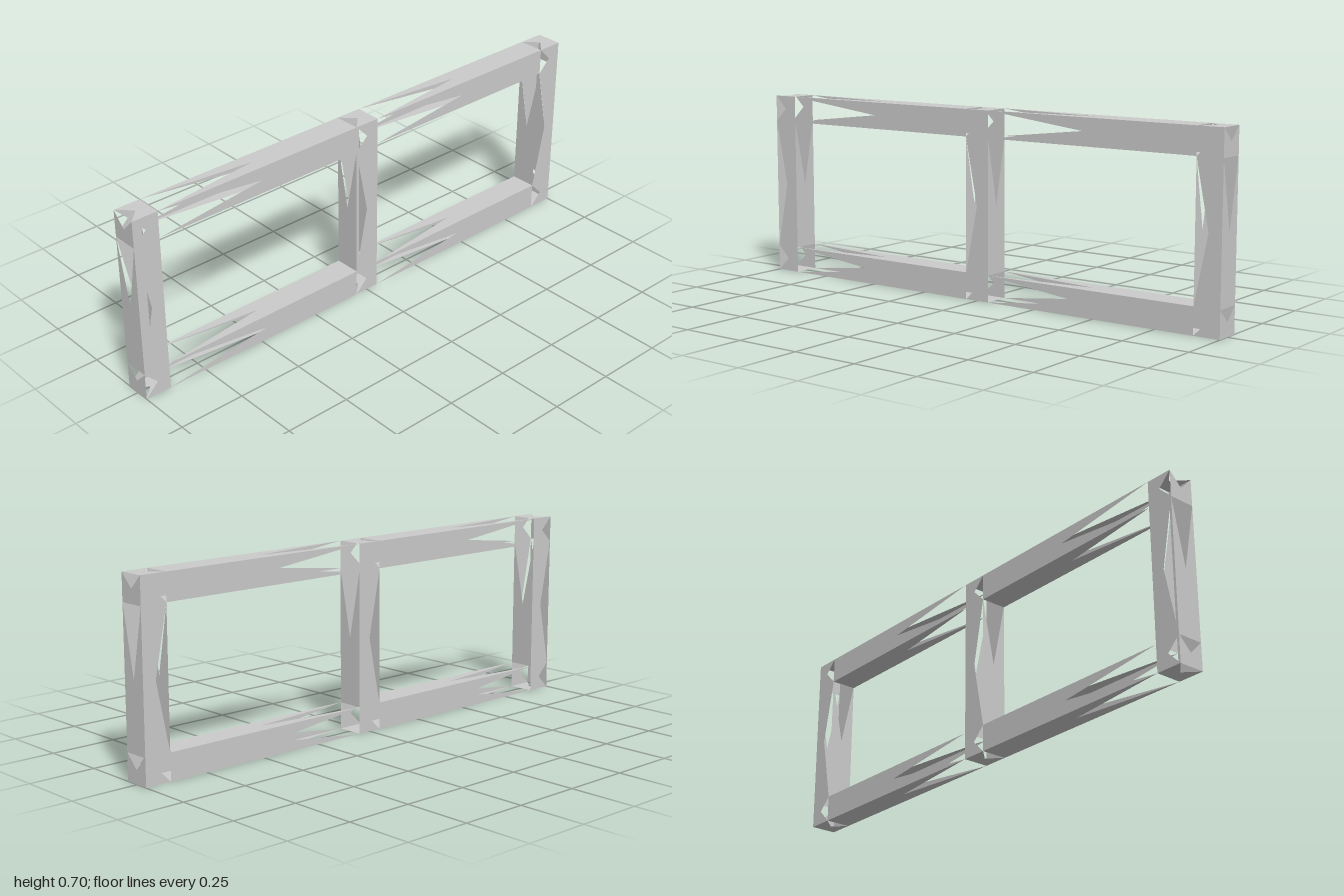
import * as THREE from 'three';
import { mergeGeometries } from 'three/addons/utils/BufferGeometryUtils.js';

const X = [-0.05, 0.05];
const Y = [0, 0.1, 0.6, 0.7];
const Z = [-1, -0.9, -0.05, 0.05, 0.9, 1];

// Solid cells of the frame: everything but the two window openings
const solid = (j, k) =>
  j >= 0 && j < 3 && k >= 0 && k < 5 && !(j === 1 && k % 2 === 1);

// Flat panel with a V cut from one whole edge to its centre.
// The cut opens towards +y on end panels and towards +z on all others.
function notchedPanel(normal, size, center) {
  const n = new THREE.Vector3(...normal);
  const up = n.z !== 0 ? new THREE.Vector3(0, 1, 0) : new THREE.Vector3(0, 0, 1);
  const side = new THREE.Vector3().crossVectors(up, n);
  const w = Math.abs(side.dot(size)) / 2;
  const h = up.dot(size) / 2;
  const shape = new THREE.Shape([
    new THREE.Vector2(-w, h),
    new THREE.Vector2(-w, -h),
    new THREE.Vector2(w, -h),
    new THREE.Vector2(w, h),
    new THREE.Vector2(0, 0),
  ]);
  const pos = center.clone().add(n.clone().multiply(size).multiplyScalar(0.5));
  const matrix = new THREE.Matrix4().makeBasis(side, up, n).setPosition(pos);
  return new THREE.ShapeGeometry(shape).applyMatrix4(matrix);
}

export function createModel() {
  const group = new THREE.Group();
  group.name = 'ladderFrame';
  const material = new THREE.MeshStandardMaterial({
    color: 0xcccccc, flatShading: true, side: THREE.DoubleSide,
  });

  for (let j = 0; j < 3; j++) {
    for (let k = 0; k < 5; k++) {
      if (!solid(j, k)) continue;
      const size = new THREE.Vector3(X[1] - X[0], Y[j + 1] - Y[j], Z[k + 1] - Z[k]);
      const center = new THREE.Vector3(0, (Y[j] + Y[j + 1]) / 2, (Z[k] + Z[k + 1]) / 2);

      // Outer skin only: no panel where two cells meet
      const normals = [[1, 0, 0], [-1, 0, 0]];
      for (const s of [-1, 1]) {
        if (!solid(j + s, k)) normals.push([0, s, 0]);
        if (!solid(j, k + s)) normals.push([0, 0, s]);
      }
      const mesh = new THREE.Mesh(
        mergeGeometries(normals.map((n) => notchedPanel(n, size, center))), material);

      // Posts stand, rails run along z, joints link them
      const level = ['lower', 'middle', 'upper'][j];
      const place = ['Back', 'Back', 'Centre', 'Front', 'Front'][k];
      const part = k % 2 === 1 ? 'Rail' : j === 1 ? 'Post' : 'Joint';
      mesh.name = part === 'Post' ? place.toLowerCase() + part : level + place + part;
      group.add(mesh);
    }
  }
  return group;
}
